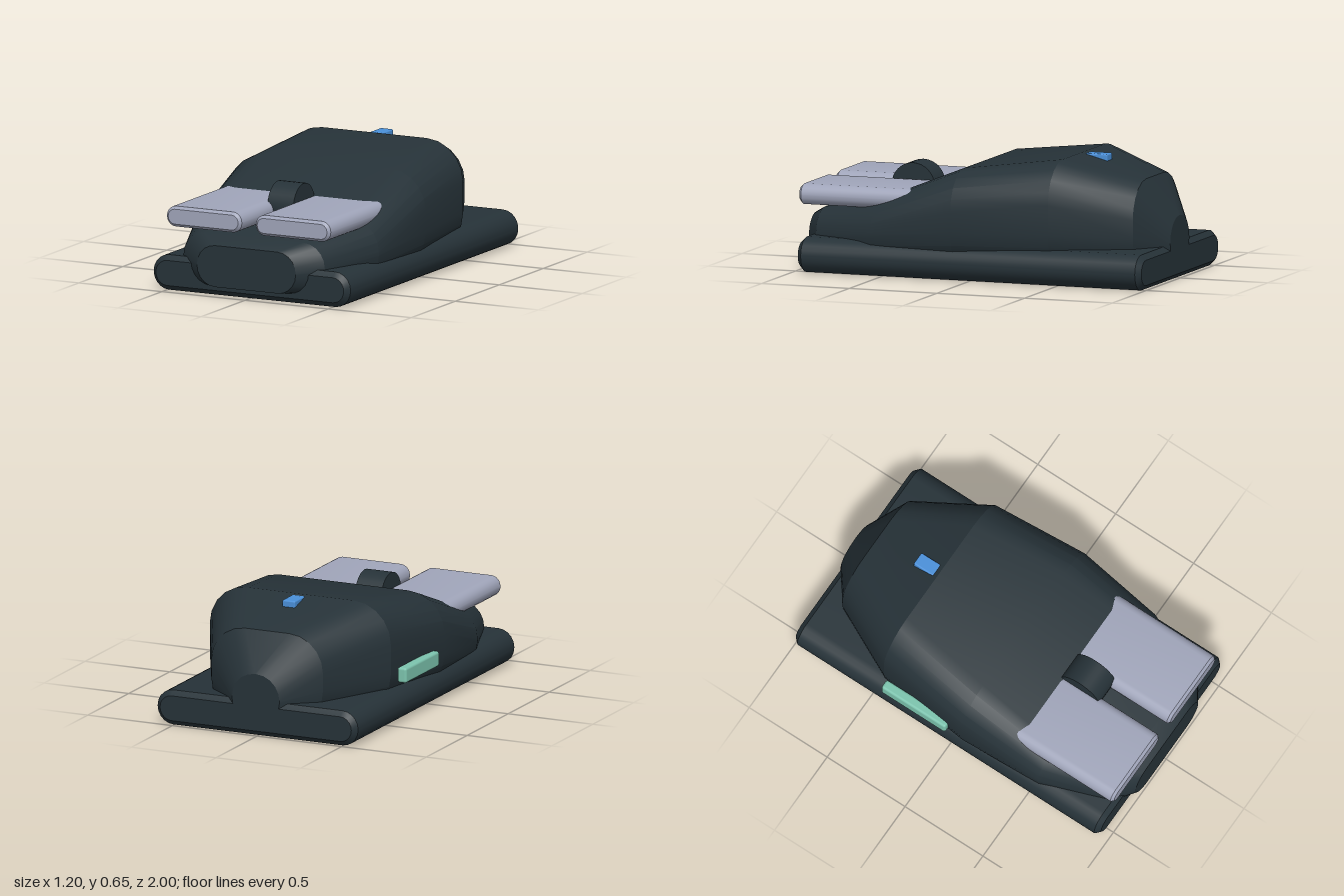
import * as THREE from 'three';
import { toCreasedNormals } from 'three/addons/utils/BufferGeometryUtils.js';
import { RoundedBoxGeometry } from 'three/addons/geometries/RoundedBoxGeometry.js';

const CX = 0.0075; // centre line of the body
const CREASE = 0.33;

function material(name, color) {
  const m = new THREE.MeshStandardMaterial({ color });
  m.name = name;
  return m;
}

// Rounded-rectangle outline, counterclockwise seen from +z
function outline(cx, half, y0, y1, r, steps = 5) {
  const pts = [];
  const corners = [[cx + half - r, y1 - r], [cx - half + r, y1 - r], [cx - half + r, y0 + r], [cx + half - r, y0 + r]];
  corners.forEach(([x, y], q) => {
    for (let i = 0; i <= steps; i++) {
      const a = (q + i / steps) * Math.PI / 2;
      pts.push(new THREE.Vector2(x + r * Math.cos(a), y + r * Math.sin(a)));
    }
  });
  return pts;
}

// Slab with rounded sides and bevelled ends, running along z
function slab(cx, half, y0, y1, z0, z1, r, b) {
  const shape = new THREE.Shape(outline(cx, half - b, y0 + b, y1 - b, r - b));
  const geo = new THREE.ExtrudeGeometry(shape, {
    depth: z1 - z0 - 2 * b, bevelEnabled: true, bevelSize: b, bevelThickness: b, bevelSegments: 1,
  });
  geo.translate(0, 0, z0 + b);
  return toCreasedNormals(geo, CREASE);
}

// Skin over a list of sections [z, half width, bottom, top, corner radius]
function loft(sections) {
  const pos = [], idx = [];
  const rings = sections.map(([z, half, y0, y1, r]) => {
    const ring = outline(CX, half, y0, y1, r);
    ring.forEach((p) => pos.push(p.x, p.y, z));
    return ring;
  });
  const n = rings[0].length, last = (rings.length - 1) * n;
  for (let i = 0; i < rings.length - 1; i++) {
    for (let j = 0; j < n; j++) {
      const a = i * n + j, b = i * n + (j + 1) % n;
      idx.push(a, b, b + n, a, b + n, a + n);
    }
  }
  for (let j = 1; j < n - 1; j++) {
    idx.push(0, j + 1, j); // rear cap
    idx.push(last, last + j, last + j + 1); // front cap
  }
  const geo = new THREE.BufferGeometry();
  geo.setAttribute('position', new THREE.Float32BufferAttribute(pos, 3));
  geo.setIndex(idx);
  return toCreasedNormals(geo.toNonIndexed(), CREASE);
}

export function createModel() {
  const model = new THREE.Group();
  model.name = 'computerMouse';
  const dark = material('dark slate', 0x263238);
  const grey = material('lavender grey', 0xa0a5ba);
  const blue = material('blue', 0x4a90d9);
  const green = material('sea green', 0x7cc4ae);

  function add(name, geo, mat, x = 0, y = 0, z = 0) {
    const mesh = new THREE.Mesh(geo, mat);
    mesh.name = name;
    mesh.position.set(x, y, z);
    model.add(mesh);
    return mesh;
  }

  // Flat base and humped shell
  add('base', slab(CX, 0.592, 0, 0.19, -1, 0.96, 0.094, 0.027), dark);
  add('shell', loft([
    [-1, 0.14, 0.06, 0.34, 0.135],
    [-0.86, 0.33, 0.05, 0.545, 0.2],
    [-0.455, 0.535, 0.05, 0.652, 0.22],
    [0.08, 0.592, 0.05, 0.587, 0.21],
    [0.55, 0.56, 0.05, 0.4, 0.165],
    [0.91, 0.425, 0.05, 0.325, 0.13],
    [1, 0.297, 0.055, 0.28, 0.11],
  ]), dark);

  // Two click buttons
  for (const [name, side] of [['rightButton', -1], ['leftButton', 1]]) {
    add(name, slab(CX + side * 0.2675, 0.225, 0.355, 0.466, 0.3, 0.985, 0.054, 0.015), grey);
  }

  // Scroll wheel between the buttons
  const wheel = new THREE.CylinderGeometry(0.123, 0.123, 0.155, 32);
  wheel.rotateZ(Math.PI / 2);
  add('scrollWheel', wheel, dark, CX, 0.43, 0.491);

  // Indicator on the hump, and side button
  add('indicator', new RoundedBoxGeometry(0.076, 0.08, 0.126, 2, 0.008), blue, CX, 0.609, -0.538);
  add('sideButton', new RoundedBoxGeometry(0.055, 0.084, 0.41, 2, 0.014), green, -0.575, 0.262, -0.218);
  return model;
}
